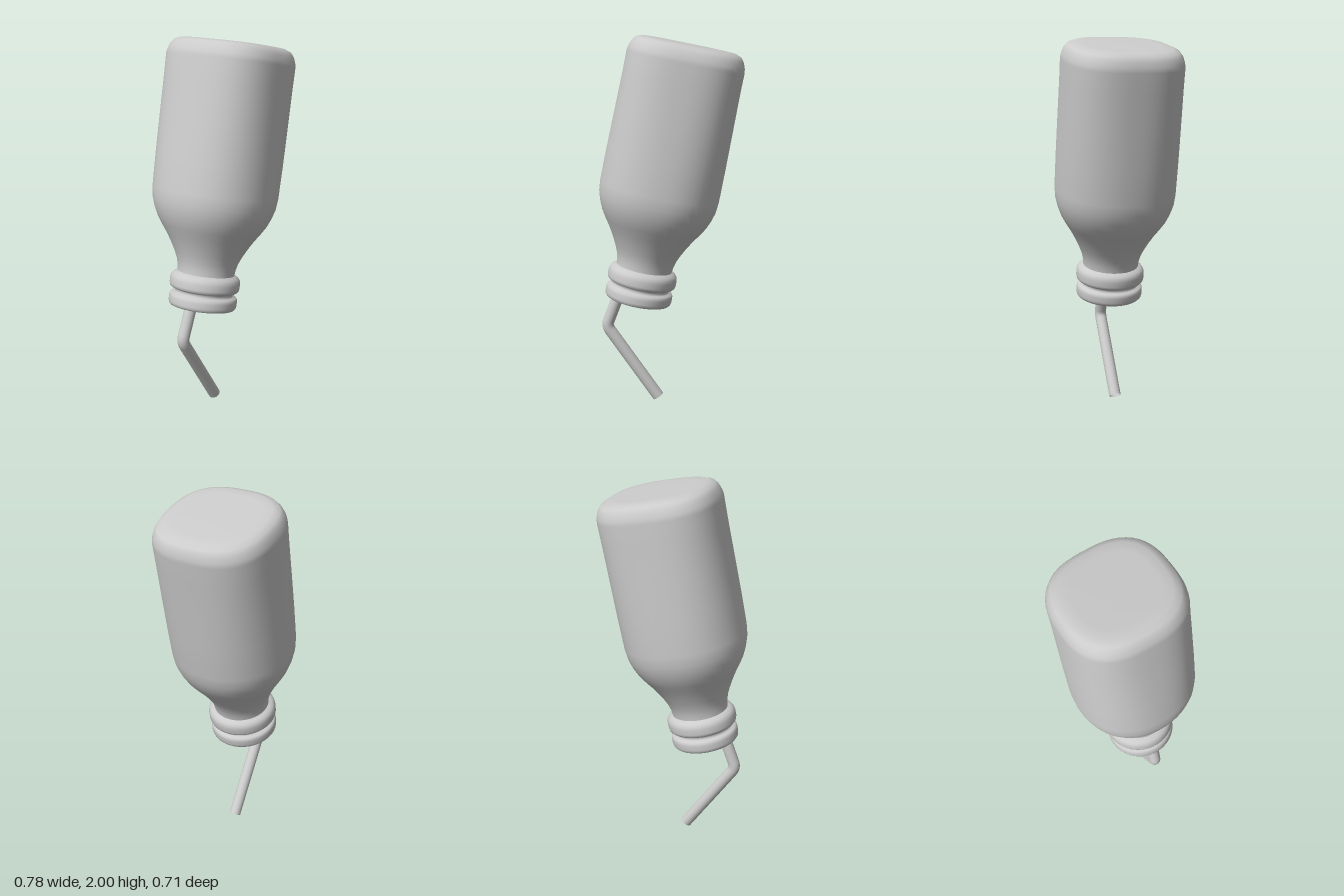
import * as THREE from 'three';
import { mergeVertices } from 'three/addons/utils/BufferGeometryUtils.js';

const material = new THREE.MeshStandardMaterial({ color: 0xcccccc, side: THREE.DoubleSide });

// Lathe through [radius, height] pairs with smooth normals and no seam
function lathe(profile, reshape) {
  let geo = new THREE.LatheGeometry(profile.map(([r, h]) => new THREE.Vector2(r, h)), 64);
  if (reshape) reshape(geo.attributes.position);
  geo.deleteAttribute('uv');
  geo.deleteAttribute('normal');
  geo = mergeVertices(geo, 1e-5);
  geo.computeVertexNormals();
  return geo;
}

// Round neck and shoulder turn gradually into a rounded square towards the base
function squareOff(pos) {
  for (let i = 0; i < pos.count; i++) {
    const x = pos.getX(i), y = pos.getY(i), z = pos.getZ(i);
    const n = 2 + 0.65 * THREE.MathUtils.clamp((y - 0.25) / 1.0, 0, 1);
    const r = Math.hypot(x, z);
    if (r < 1e-6) continue;
    const k = (Math.abs(x / r) ** n + Math.abs(z / r) ** n) ** (-1 / n);
    pos.setXYZ(i, x * k, y, z * k);
  }
}

function addMesh(parent, name, geometry) {
  const mesh = new THREE.Mesh(geometry, material);
  mesh.name = name;
  parent.add(mesh);
}

export function createModel() {
  const model = new THREE.Group();
  model.name = 'tiltedBottleWithStraw';

  // Upside-down bottle, leaning along its axis
  const bottle = new THREE.Group();
  bottle.name = 'bottle';
  bottle.position.set(-0.17, 0.58, 0.07);
  const up = new THREE.Vector3(0, 1, 0);
  bottle.quaternion.setFromUnitVectors(up, new THREE.Vector3(0.185, 1, -0.077).normalize())
    .multiply(new THREE.Quaternion().setFromAxisAngle(up, 0.42));
  model.add(bottle);

  // Neck, flared shoulder, body and flat base
  addMesh(bottle, 'bottleBody', lathe([
    [0.152, 0.12], [0.152, 0.18], [0.156, 0.215], [0.165, 0.25], [0.182, 0.29], [0.205, 0.335],
    [0.231, 0.38], [0.261, 0.425], [0.285, 0.465], [0.304, 0.51], [0.318, 0.56], [0.323, 0.62],
    [0.321, 0.8], [0.317, 1.0], [0.313, 1.2], [0.313, 1.31], [0.309, 1.335], [0.298, 1.365],
    [0.282, 1.387], [0.25, 1.4], [0.2, 1.402], [0, 1.402]], squareOff));

  // Two neck rings with a groove between them and an open lip below
  addMesh(bottle, 'neckRings', lathe([
    [0.147, 0.14], [0.147, 0.08], [0.148, 0.015], [0.153, 0.003], [0.162, -0.002], [0.173, 0],
    [0.18, 0.008], [0.183, 0.02], [0.183, 0.045], [0.181, 0.056], [0.175, 0.065],
    [0.16, 0.069], [0.155, 0.075], [0.155, 0.086], [0.162, 0.092], [0.177, 0.095],
    [0.185, 0.103], [0.188, 0.115], [0.188, 0.142], [0.185, 0.158], [0.177, 0.17],
    [0.165, 0.178], [0.152, 0.184]]));

  // Bent drinking straw, open at both ends
  const tip = new THREE.Vector3(-0.07, 0.023, 0.024);
  const bend = new THREE.Vector3(-0.327, 0.43, 0.137);
  const inside = new THREE.Vector3(0.06, 1.5, 0.01);
  const nearBend = end => end.clone().sub(bend).setLength(0.032).add(bend);
  const path = new THREE.CurvePath();
  path.add(new THREE.LineCurve3(tip, nearBend(tip)));
  path.add(new THREE.QuadraticBezierCurve3(nearBend(tip), bend, nearBend(inside)));
  path.add(new THREE.LineCurve3(nearBend(inside), inside));
  addMesh(model, 'straw', new THREE.TubeGeometry(path, 160, 0.032, 20, false));

  return model;
}
